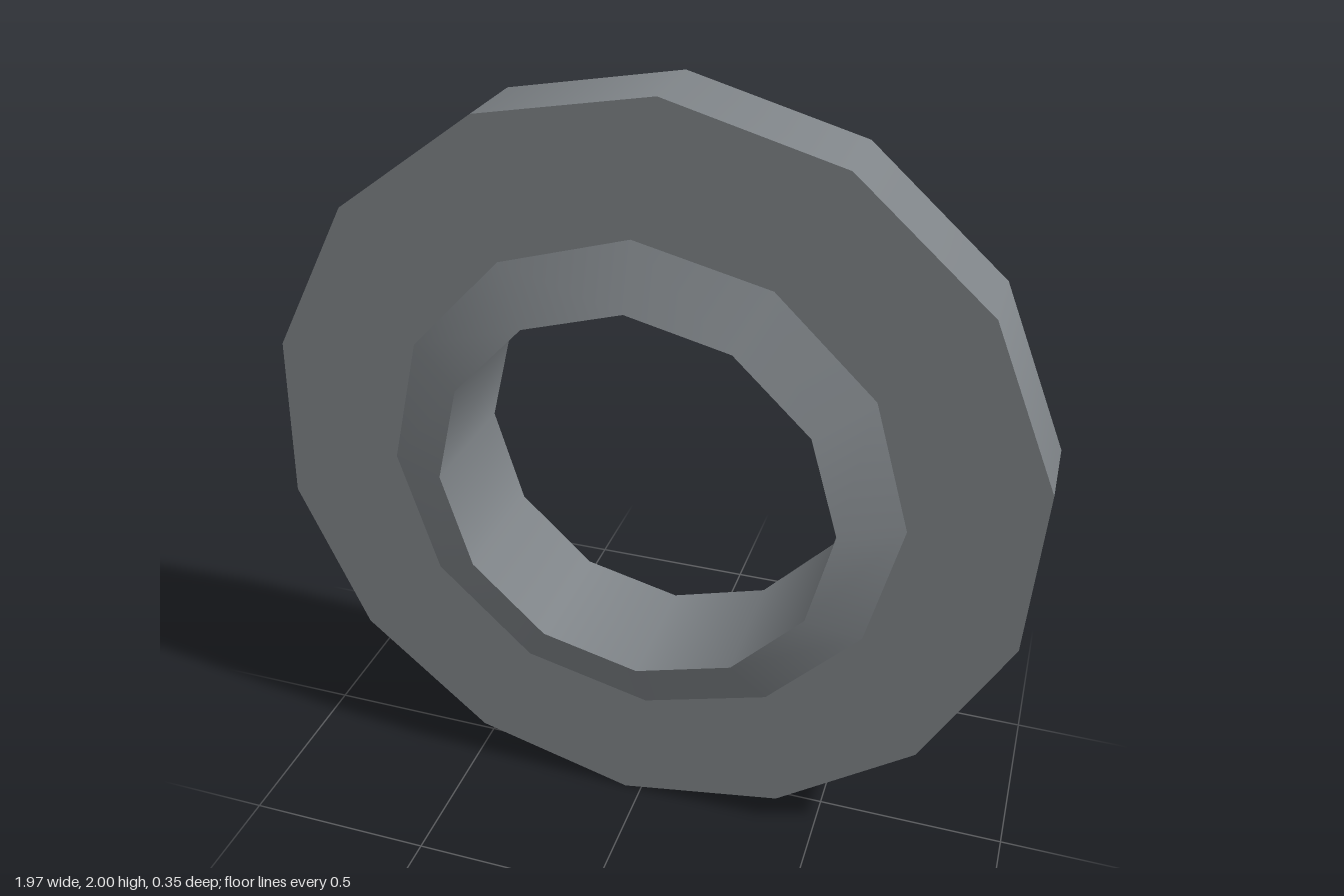
import * as THREE from 'three';

const OUTER_R = 1, CHAMFER_R = 0.668, BORE_R = 0.513;
const DISC_Z = 0.108, COLLAR_Z = 0.177;
const RIM = { sides: 14, start: THREE.MathUtils.degToRad(87.4) };
const COLLAR = { sides: 12, start: THREE.MathUtils.degToRad(91.4) };

// Corners of a regular polygon; flip mirrors it in x
function corners(r, { sides, start }, flip) {
  return Array.from({ length: sides }, (_, i) => {
    const a = start + (i / sides) * Math.PI * 2;
    return new THREE.Vector2((flip ? -1 : 1) * r * Math.cos(a), r * Math.sin(a));
  });
}

// Smooth band around the z axis between two [radius, z] points
function band(from, to, { sides, start }) {
  const points = [new THREE.Vector2(...from), new THREE.Vector2(...to)];
  return new THREE.LatheGeometry(points, sides, start + Math.PI / 2).rotateX(Math.PI / 2);
}

// Flat ring between the rim and the collar, facing front or back
function face(back) {
  const shape = new THREE.Shape(corners(OUTER_R, RIM, back));
  shape.holes.push(new THREE.Path(corners(CHAMFER_R, COLLAR, back)));
  const geometry = new THREE.ShapeGeometry(shape).translate(0, 0, DISC_Z);
  return back ? geometry.rotateY(Math.PI) : geometry;
}

export function createModel() {
  const steel = new THREE.MeshStandardMaterial({ color: 0x7f8488 });
  steel.name = 'steel grey';
  const model = new THREE.Group();
  model.name = 'ring';

  const add = (name, geometry) => {
    const mesh = new THREE.Mesh(geometry, steel);
    mesh.name = name;
    mesh.position.y = 1;
    model.add(mesh);
  };

  // Disc
  add('outerRim', band([OUTER_R, -DISC_Z], [OUTER_R, DISC_Z], RIM));
  add('frontFace', face(false));
  add('backFace', face(true));

  // Raised collar and bore
  add('frontChamfer', band([CHAMFER_R, DISC_Z], [BORE_R, COLLAR_Z], COLLAR));
  add('bore', band([BORE_R, COLLAR_Z], [BORE_R, -COLLAR_Z], COLLAR));
  add('backChamfer', band([BORE_R, -COLLAR_Z], [CHAMFER_R, -DISC_Z], COLLAR));

  return model;
}
